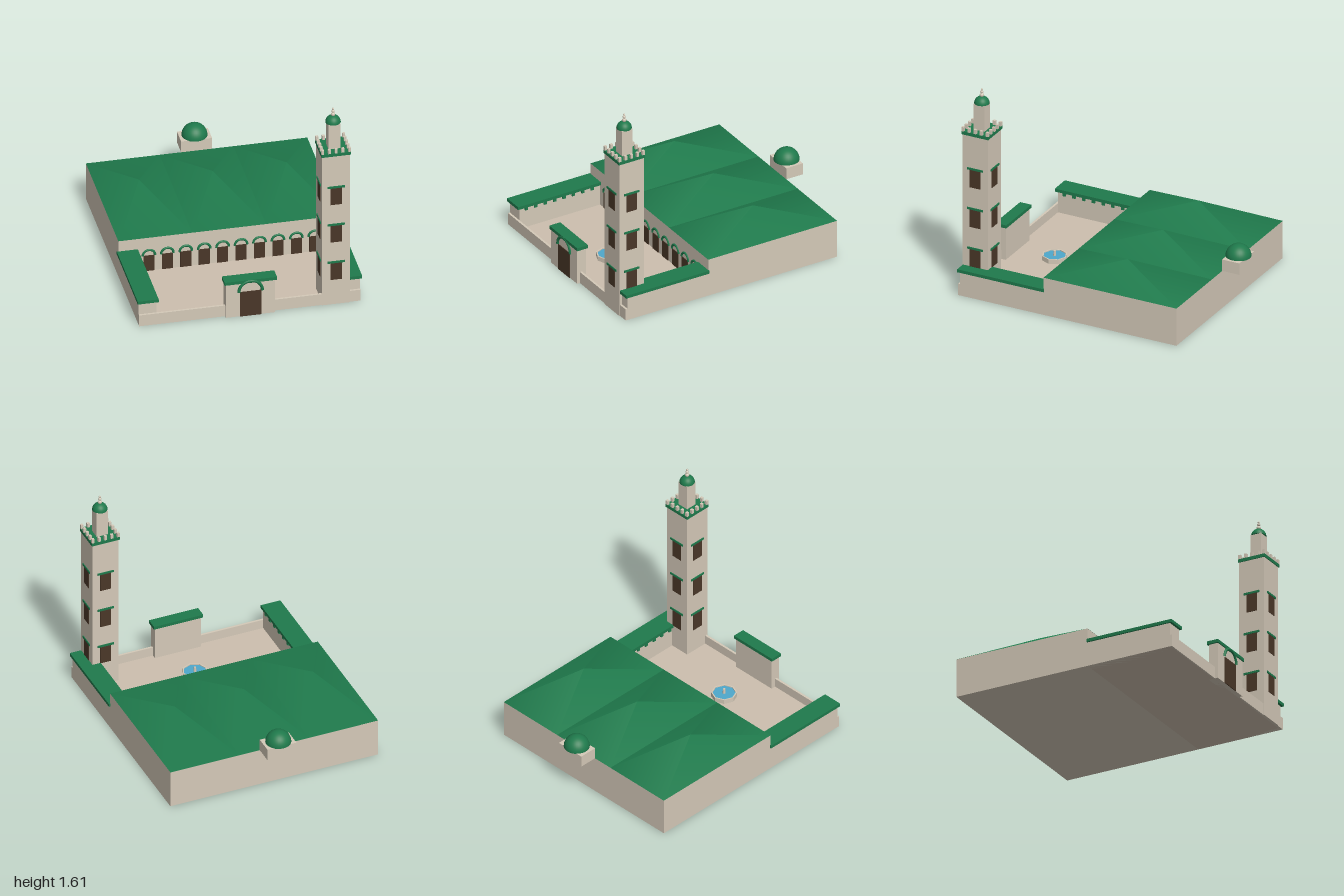
import * as THREE from 'three';

const material = (name, color) => {
  const m = new THREE.MeshStandardMaterial({ color });
  m.name = name;
  return m;
};

export function createModel() {
  const wall = material('limestone', 0xd4c9b8);
  const paving = material('paving', 0xcdbfae);
  const green = material('greenTile', 0x1f7a4c);
  const wood = material('darkWood', 0x4a3728);
  const water = material('water', 0x4fa8cc);

  const model = new THREE.Group();
  model.name = 'courtyardMosque';

  const group = (name, parent = model) => {
    const g = new THREE.Group();
    g.name = name;
    parent.add(g);
    return g;
  };
  const add = (parent, name, geometry, mat, x = 0, y = 0, z = 0) => {
    const m = new THREE.Mesh(geometry, mat);
    m.name = name;
    m.position.set(x, y, z);
    parent.add(m);
    return m;
  };
  // Box given by its min and max on each axis
  const box = (parent, name, mat, x0, x1, y0, y1, z0, z1) =>
    add(parent, name, new THREE.BoxGeometry(x1 - x0, y1 - y0, z1 - z0), mat,
      (x0 + x1) / 2, (y0 + y1) / 2, (z0 + z1) / 2);
  // Half sphere closed by a disc underneath
  const dome = (parent, name, r, x, y, z) => {
    add(parent, name, new THREE.SphereGeometry(r, 32, 12, 0, Math.PI * 2, 0, Math.PI / 2), green, x, y, z);
    add(parent, name + 'Underside', new THREE.CircleGeometry(r, 32).rotateX(Math.PI / 2), green, x, y, z);
  };
  // Door plate with a half-ring arch above it, facing +z
  const archway = (parent, x, z, halfWidth, bottom, top, radius, tube) => {
    box(parent, 'door', wood, x - halfWidth, x + halfWidth, bottom, top, z - 0.003, z + 0.004);
    add(parent, 'arch', new THREE.TorusGeometry(radius, tube, 8, 24, Math.PI), green, x, top, z);
  };

  // Courtyard floor and low front wall
  box(model, 'courtyardFloor', paving, -0.82, 0.82, 0, 0.02, 0.26, 0.95);
  box(model, 'frontWall', wall, -0.823, 0.823, 0, 0.092, 0.945, 0.962);

  // Prayer hall with three pyramid roofs
  const hall = group('prayerHall');
  box(hall, 'hallWalls', wall, -0.823, 0.823, 0, 0.3, -0.832, 0.26);
  for (let i = -1; i <= 1; i++) {
    const roof = new THREE.ConeGeometry(Math.SQRT1_2, 1, 4)
      .rotateY(Math.PI / 4).scale(0.5487, 0.158, 1.094);
    add(hall, 'pyramidRoof', roof, green, i * 0.5487, 0.379, -0.286);
  }
  for (let i = 0; i < 10; i++) {
    archway(hall, -0.596 + i * 0.137, 0.261, 0.041, 0.02, 0.15, 0.046, 0.009);
  }

  // Rear dome on its projecting block
  const rear = group('rearDome');
  box(rear, 'domeBlock', wall, -0.115, 0.115, 0.3, 0.392, -0.973, -0.832);
  dome(rear, 'dome', 0.095, 0, 0.39, -0.905);

  // Side galleries, mirrored
  for (const s of [-1, 1]) {
    const gallery = group(s > 0 ? 'leftGallery' : 'rightGallery');
    const slab = (name, mat, a, b, ...rest) =>
      box(gallery, name, mat, Math.min(s * a, s * b), Math.max(s * a, s * b), ...rest);
    slab('galleryWall', wall, 0.69, 0.823, 0, 0.19, 0.26, 0.945);
    slab('galleryRoof', green, 0.678, 0.834, 0.188, 0.212, 0.256, 0.964);
    for (let i = 0; i < 8; i++) {
      const z = 0.33 + i * 0.08;
      slab('eaveBracket', green, 0.68, 0.692, 0.165, 0.19, z - 0.012, z + 0.012);
    }
  }

  // Entrance portal
  const portal = group('portal');
  box(portal, 'portalBody', wall, -0.183, 0.183, 0, 0.282, 0.91, 0.985);
  box(portal, 'portalRoof', green, -0.195, 0.195, 0.28, 0.305, 0.9, 0.993);
  archway(portal, 0, 0.986, 0.08, 0, 0.207, 0.087, 0.012);

  // Octagonal fountain
  const fountain = group('fountain');
  fountain.position.set(0, 0, 0.605);
  const basin = [[0, 0.02], [0.095, 0.02], [0.095, 0.055], [0.085, 0.055], [0.085, 0.04]];
  const basinGeometry = new THREE.LatheGeometry(
    basin.map(([r, y]) => new THREE.Vector2(r, y)), 8).toNonIndexed();
  basinGeometry.computeVertexNormals();
  add(fountain, 'basin', basinGeometry, wall);
  add(fountain, 'waterSurface', new THREE.CircleGeometry(0.086, 8).rotateX(-Math.PI / 2), water, 0, 0.048, 0);
  add(fountain, 'spout', new THREE.CylinderGeometry(0.009, 0.012, 0.05, 12), wall, 0, 0.06, 0);

  // Minaret
  const tower = group('minaret');
  tower.position.set(0.64, 0, 0.864);
  const h = 0.104;
  box(tower, 'shaft', wall, -h, h, 0, 1.268, -h, h);
  box(tower, 'balcony', green, -0.11, 0.11, 1.265, 1.29, -0.11, 0.11);

  // Windows with lintels on all four faces
  for (let side = 0; side < 4; side++) {
    const face = group('towerFace', tower);
    face.rotation.y = side * Math.PI / 2;
    for (const y of [0.21, 0.53, 0.85]) {
      box(face, 'window', wood, -0.043, 0.043, y, y + 0.142, h - 0.003, h + 0.003);
      box(face, 'lintel', green, -0.064, 0.064, y + 0.142, y + 0.158, h - 0.003, h + 0.006);
    }
    // Battlements, one corner per face
    for (let i = 0; i < 4; i++) {
      const x = -0.1 + i * 0.05;
      box(face, 'merlon', wall, x - 0.01, x + 0.01, 1.29, 1.324, 0.09, 0.11);
    }
  }

  // Lantern, cap and finial
  box(tower, 'lantern', wall, -0.044, 0.044, 1.29, 1.497, -0.044, 0.044);
  dome(tower, 'cap', 0.056, 0, 1.495, 0);
  add(tower, 'finialRod', new THREE.CylinderGeometry(0.004, 0.004, 0.06, 8), wall, 0, 1.572, 0);
  for (const [r, y] of [[0.016, 1.56], [0.012, 1.586], [0.008, 1.605]]) {
    add(tower, 'finialBall', new THREE.SphereGeometry(r, 16, 10), wall, 0, y, 0);
  }

  return model;
}
